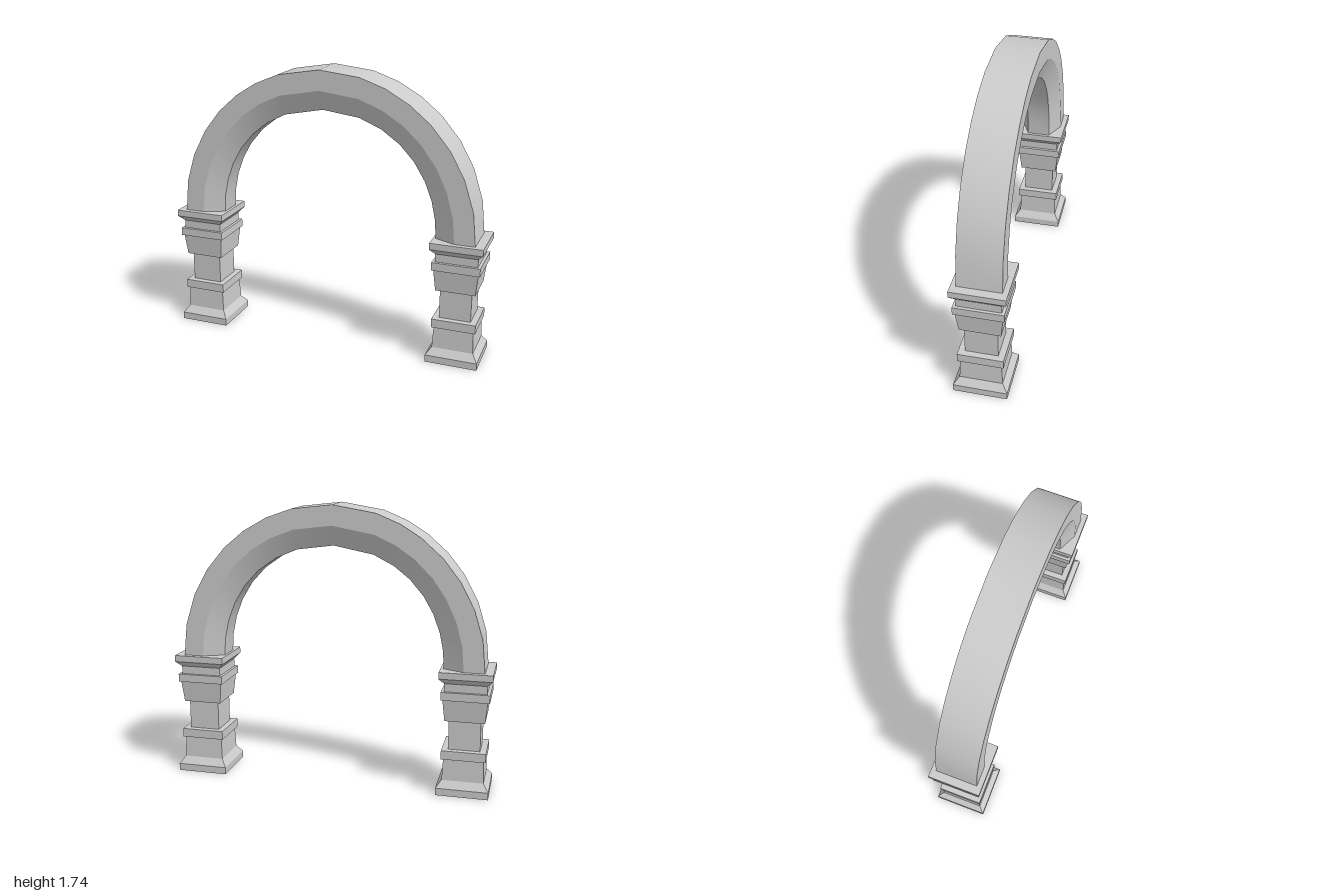
import * as THREE from 'three';
import { toCreasedNormals } from 'three/addons/utils/BufferGeometryUtils.js';

const SPRING_Y = 0.775; // where the arch meets the pillars

// Square pillar: four-sided lathe of [half width, height], hollow underneath
function pillarGeometry() {
  const profile = [
    [0.16, 0], [0.16, 0.045], [0.127, 0.09], [0.121, 0.225],      // plinth and flare
    [0.135, 0.225], [0.135, 0.28], [0.097, 0.28],                 // lower band
    [0.097, 0.465], [0.121, 0.465], [0.135, 0.6],                 // shaft, tapered capital
    [0.146, 0.6], [0.146, 0.65], [0.128, 0.65],                   // upper band
    [0.128, 0.7], [0.16, 0.735], [0.16, SPRING_Y], [0, SPRING_Y], // neck and top slab
  ];
  const points = profile.map(([r, y]) => new THREE.Vector2(r * Math.SQRT2, y));
  return new THREE.LatheGeometry(points, 4, Math.PI / 4).scale(1, 1, 1.02);
}

// Arch: six-sided section with a bevelled underside, swept over an ellipse
function archGeometry() {
  const degrees = [0, 12, 24, 35, 46, 56, 66, 76, 91.2, 107.5, 117, 126, 136, 146, 157, 168, 180];
  const sections = degrees.map((d) => {
    const t = THREE.MathUtils.degToRad(d);
    const u = t + 0.13 * Math.sin(2 * t - Math.PI); // inner edge lags towards the crown
    const outer = new THREE.Vector2(0.948 * Math.cos(t), 0.966 * Math.sin(t));
    const inner = new THREE.Vector2(0.698 * Math.cos(u), 0.72 * Math.sin(u));
    // keep the flanks of the opening slightly full
    inner.multiplyScalar(1 + 0.012 * Math.sin(2 * u) ** 2);
    const middle = outer.clone().lerp(inner, 0.5);
    return [[outer, 0.131], [middle, 0.131], [inner, 0.073],
      [inner, -0.073], [middle, -0.131], [outer, -0.131]]
      .map(([p, z]) => [p.x - 0.002, p.y + SPRING_Y, z]);
  });
  const positions = [];
  for (let i = 0; i < sections.length - 1; i++) {
    const a = sections[i], b = sections[i + 1];
    for (let j = 0; j < 6; j++) {
      const k = (j + 1) % 6;
      positions.push(...a[j], ...b[j], ...b[k], ...a[j], ...b[k], ...a[k]);
    }
  }
  const geometry = new THREE.BufferGeometry();
  geometry.setAttribute('position', new THREE.Float32BufferAttribute(positions, 3));
  return toCreasedNormals(geometry, THREE.MathUtils.degToRad(20));
}

export function createModel() {
  const group = new THREE.Group();
  group.name = 'archway';

  const stone = new THREE.MeshStandardMaterial({ color: 0xcccccc, flatShading: true, side: THREE.DoubleSide });
  const smoothStone = new THREE.MeshStandardMaterial({ color: 0xcccccc, side: THREE.DoubleSide });

  // Pillars
  const pillar = pillarGeometry();
  for (const [name, side] of [['leftPillar', 1], ['rightPillar', -1]]) {
    const mesh = new THREE.Mesh(pillar, stone);
    mesh.name = name;
    mesh.position.x = side * 0.84;
    group.add(mesh);
  }

  // Arch
  const arch = new THREE.Mesh(archGeometry(), smoothStone);
  arch.name = 'arch';
  group.add(arch);

  return group;
}
